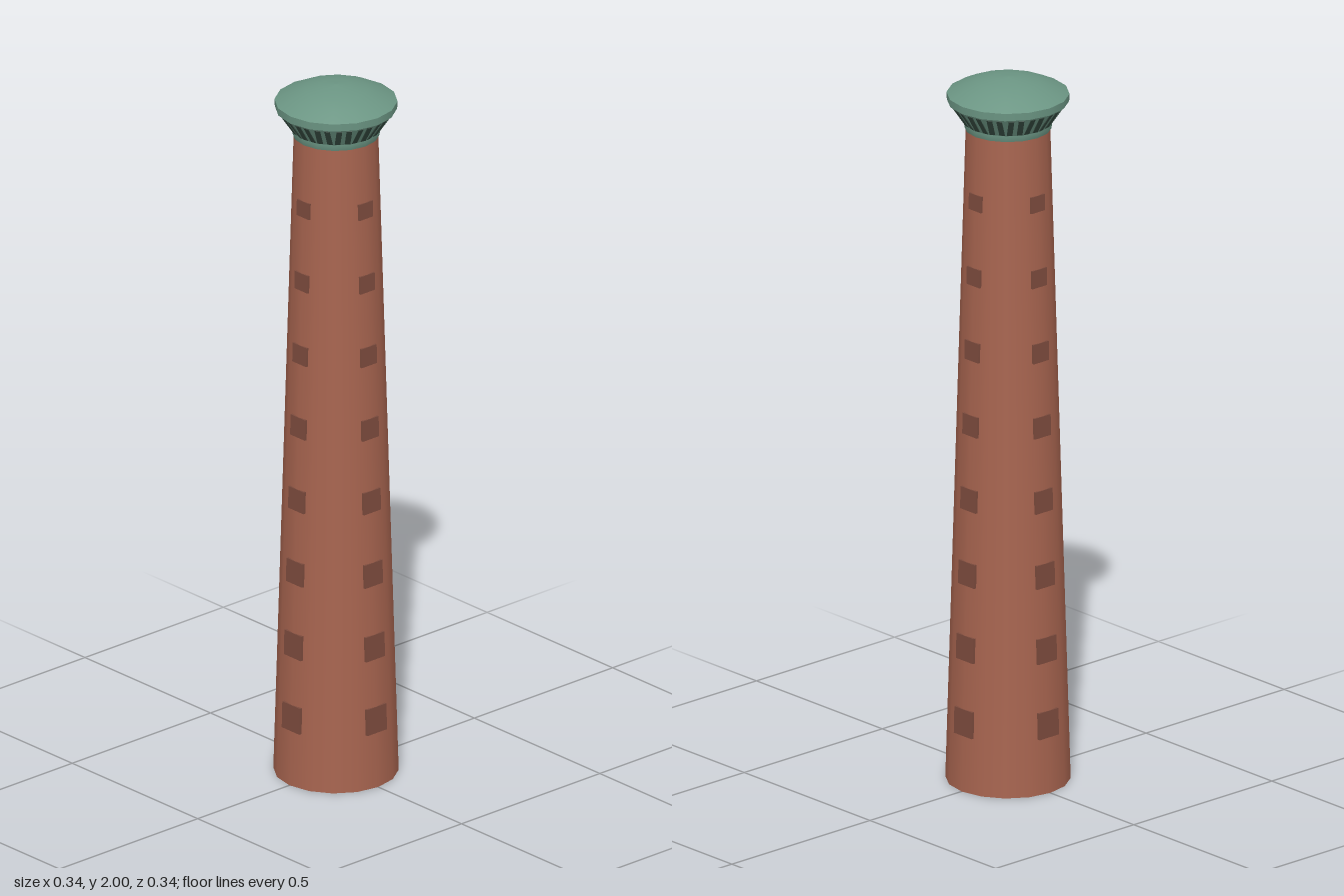
import * as THREE from 'three';

const SIDES = 16;
const BASE_R = 0.168, TOP_R = 0.113, WALL_H = 1.87;

function material(name, color, side = THREE.FrontSide) {
  const m = new THREE.MeshStandardMaterial({ color, side });
  m.name = name;
  return m;
}

export function createModel() {
  const brick = material('brick', 0xa7644f, THREE.DoubleSide);
  const darkBrick = material('dark brick', 0x7c4b3d);
  const copper = material('green copper', 0x6b9583);
  const slot = material('dark slot', 0x34493f);

  const model = new THREE.Group();
  model.name = 'tower';

  const add = (name, geometry, mat, parent = model) => {
    const mesh = new THREE.Mesh(geometry, mat);
    mesh.name = name;
    parent.add(mesh);
    return mesh;
  };
  const lathe = (name, profile, mat) =>
    add(name, new THREE.LatheGeometry(profile.map(([r, y]) => new THREE.Vector2(r, y)), SIDES), mat);

  // Tapered shaft, open at the foot
  lathe('shaft', [[BASE_R, 0], [TOP_R, WALL_H]], brick);

  // Four columns of windows, shrinking towards the top
  const lean = Math.atan((BASE_R - TOP_R) / WALL_H);
  const rows = 8;
  for (let side = 0; side < 4; side++) {
    const column = new THREE.Group();
    column.name = 'windowColumn';
    column.rotation.y = side * Math.PI / 2;
    model.add(column);
    for (let i = 0; i < rows; i++) {
      const t = i / (rows - 1);
      const y = 0.195 + t * 1.473;
      const r = THREE.MathUtils.lerp(BASE_R, TOP_R, y / WALL_H);
      const w = THREE.MathUtils.lerp(0.07, 0.049, t);
      const h = THREE.MathUtils.lerp(0.075, 0.046, t);
      const pane = add('window', new THREE.BoxGeometry(w, h, 0.0095), darkBrick, column);
      pane.position.set(0, y, r - 0.0035);
      pane.rotation.x = -lean;
    }
  }

  // Flared head: collar, flare, rim and shallow dome
  const low = [0.118, 1.872], high = [0.158, 1.93];
  lathe('collar', [[0.112, 1.855], [0.117, 1.855], low], copper);
  lathe('flare', [low, high], copper);
  lathe('rimUnderside', [high, [0.164, 1.932]], copper);
  lathe('rim', [[0.164, 1.932], [0.165, 1.953]], copper);
  lathe('dome', [[0.165, 1.953], [0.125, 1.973], [0.085, 1.988], [0.042, 1.997], [0, 2]], copper);

  // Slots around the flare, two on each face
  const slots = new THREE.Group();
  slots.name = 'slots';
  model.add(slots);
  const apothem = Math.cos(Math.PI / SIDES);
  const faceLean = Math.atan2((high[0] - low[0]) * apothem, high[1] - low[1]);
  for (let i = 0; i < SIDES; i++) {
    const face = new THREE.Group();
    face.name = 'slotPair';
    face.rotation.y = (i + 0.5) * Math.PI * 2 / SIDES;
    slots.add(face);
    for (const s of [-1, 1]) {
      const plate = add('slot', new THREE.BoxGeometry(0.015, 0.062, 0.004), slot, face);
      plate.position.set(s * 0.0135, (low[1] + high[1]) / 2, apothem * (low[0] + high[0]) / 2);
      plate.rotation.x = faceLean;
    }
  }
  return model;
}
